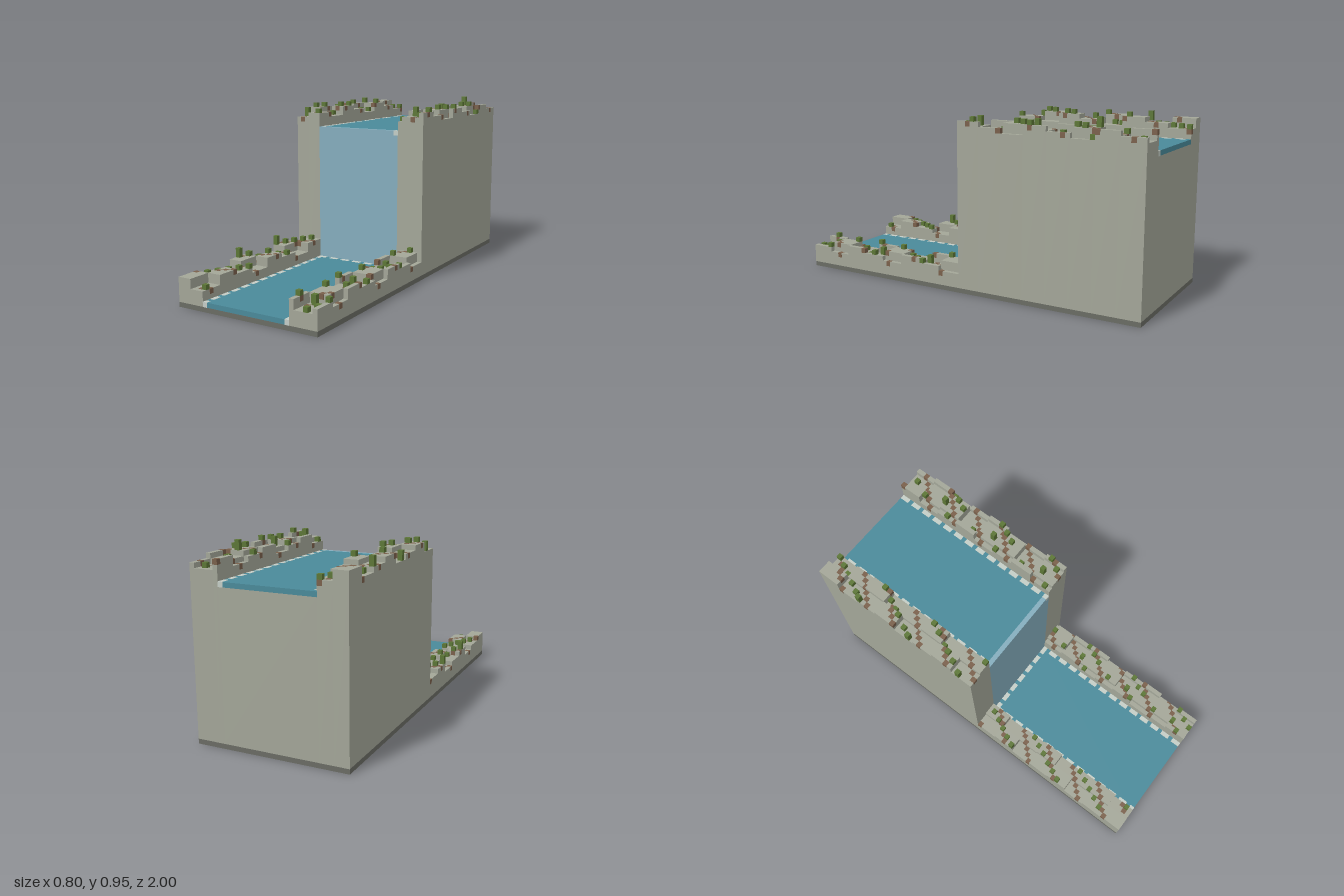
import * as THREE from 'three';
import { mergeGeometries } from 'three/addons/utils/BufferGeometryUtils.js';

// The model sits on a grid of small cubes: 32 wide (x) and 80 deep (z)
const U = 0.025, DEPTH = 80, LEDGE = 40;

const makeMaterial = (name, color) => {
  const m = new THREE.MeshStandardMaterial({ color });
  m.name = name;
  return m;
};

// Box spanning grid cells [x0,x1) [y0,y1) [z0,z1); grow lifts inlaid cells just proud
function cells(x0, x1, y0, y1, z0, z1, grow = 0) {
  const g = new THREE.BoxGeometry((x1 - x0) * U + grow, (y1 - y0) * U + grow, (z1 - z0) * U + grow);
  return g.translate(((x0 + x1) / 2 - 16) * U, ((y0 + y1) / 2) * U, ((z0 + z1) / 2 - 40) * U);
}

// Stepped bank height, in cells, at a grid column
function bankTop(x, z) {
  const step = (Math.floor(z / 5) + Math.floor((x + 1) / 4) + 2) % 3;
  return (z < LEDGE ? 34 : 4) + step;
}

export function createModel() {
  const group = new THREE.Group();
  const add = (name, material, boxes) => {
    const mesh = new THREE.Mesh(mergeGeometries(boxes), material);
    mesh.name = name;
    group.add(mesh);
  };
  const rock = makeMaterial('rock grey', 0xa3a698);
  const bed = makeMaterial('dark stone', 0x6a6c64);
  const water = makeMaterial('river teal', 0x4a8a9a);
  const fall = makeMaterial('waterfall blue', 0x84adbd);
  const foamWhite = makeMaterial('foam white', 0xc4cdc6);
  const mossGreen = makeMaterial('moss green', 0x5c7636);
  const soil = makeMaterial('soil brown', 0x7a604b);

  // Bed, upper rock core, two river levels and the waterfall
  add('riverBed', bed, [cells(0, 32, 0, 1, 0, DEPTH)]);
  add('cliffCore', rock, [cells(6, 26, 1, 31, 0, LEDGE - 1)]);
  add('upperRiver', water, [cells(6, 26, 31, 32, 0, LEDGE - 1)]);
  add('lowerRiver', water, [cells(6, 26, 1, 2, LEDGE, DEPTH)]);
  add('waterfall', fall, [cells(6, 26, 1, 32, LEDGE - 1, LEDGE)]);

  // Stepped banks on both sides
  const banks = [];
  for (const [x0, x1] of [[0, 3], [3, 6], [26, 27], [27, 31], [31, 32]])
    for (let z = 0; z < DEPTH; z += 5)
      banks.push(cells(x0, x1, 1, bankTop(x0, z), z, z + 5));
  add('banks', rock, banks);

  // Foam dashes along the shores and at the foot of the fall
  const foam = [];
  const addFoam = (x, z) => {
    const y = z < LEDGE ? 31 : 1;
    if ((x + z) % 3 !== 0) foam.push(cells(x, x + 1, y, y + 1, z, z + 1, 0.001));
  };
  for (let z = 0; z < DEPTH; z++) {
    addFoam(6, z);
    addFoam(25, z);
  }
  for (let x = 7; x < 25; x++) addFoam(x, LEDGE);
  add('foam', foamWhite, foam);

  // Diagonal soil seams set in the banks, and moss tufts standing on them
  const seams = [], tufts = [];
  const mossRow = { 0: 10, 1: 8, 2: 6, 3: 4, 4: 2, 5: 0, 26: 12, 27: 5, 28: 10, 29: 1, 30: 12, 31: 10 };
  for (const [key, row] of Object.entries(mossRow)) {
    const x = Number(key);
    const tall = x === 0 || x === 28 ? 2 : 1;
    for (let z = 0; z < DEPTH; z++) {
      const y = bankTop(x, z);
      if ((x + z) % 7 === 5 && z < DEPTH - 1) seams.push(cells(x, x + 1, y - 1, y, z, z + 1, 0.001));
      if (z % 13 === row && !(x === 0 && z > 70)) tufts.push(cells(x, x + 1, y, y + tall, z, z + 1));
    }
  }
  add('soilSeams', soil, seams);
  add('mossTufts', mossGreen, tufts);
  return group;
}
